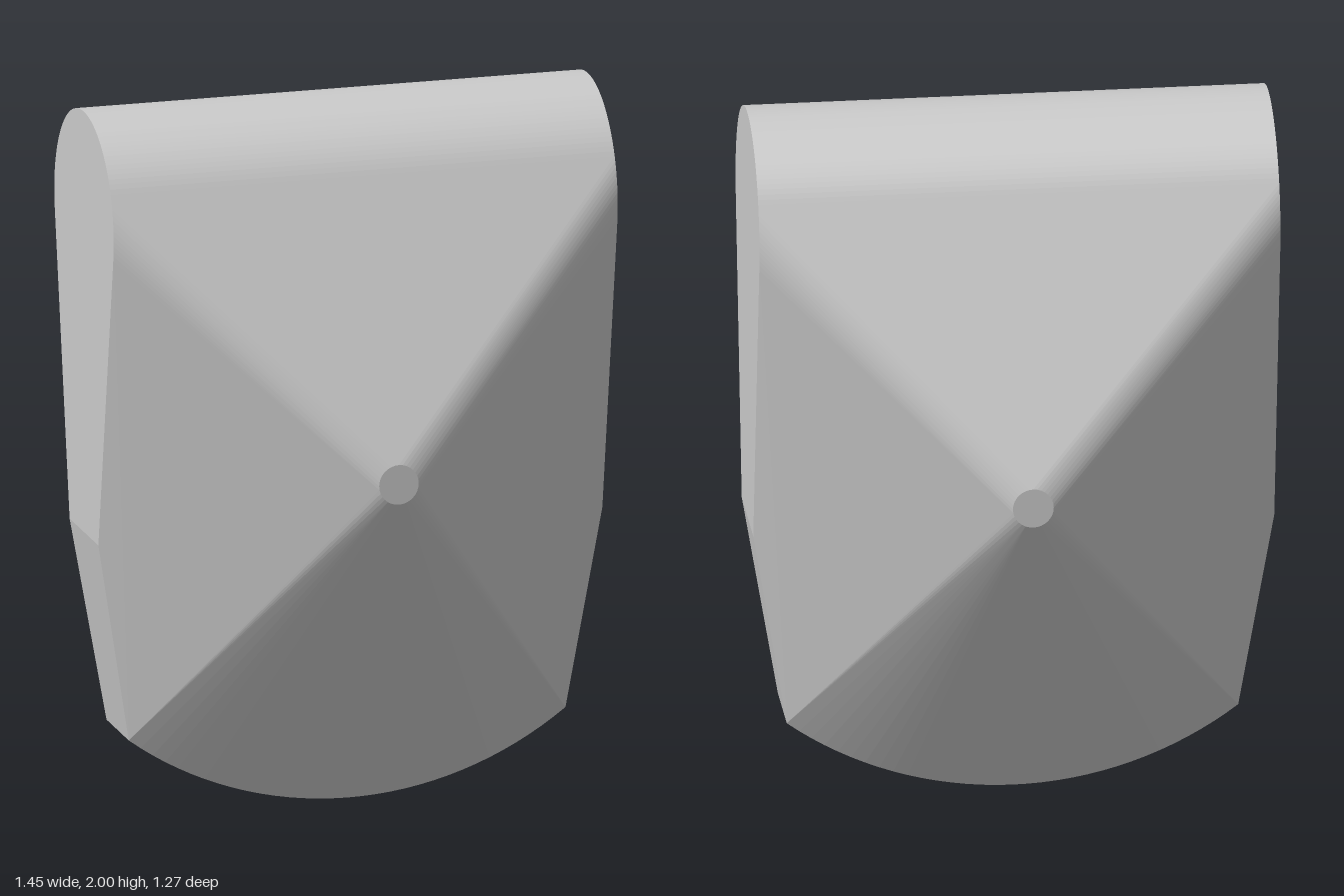
import * as THREE from 'three';
import { ConvexGeometry } from 'three/addons/geometries/ConvexGeometry.js';

// Points along a circular arc, handed to place(cos * r, sin * r)
function arc(radius, from, to, steps, place) {
  for (let i = 0; i <= steps; i++) {
    const a = from + (to - from) * i / steps;
    place(radius * Math.cos(a), radius * Math.sin(a));
  }
}

export function createModel() {
  const group = new THREE.Group();
  group.name = 'wedgeBody';
  const points = [];
  const add = (x, y, z) => points.push(new THREE.Vector3(x, y, z));

  const halfWidth = 0.727;
  const hubY = 1.04;
  const sweep = Math.asin(0.63 / hubY);

  for (const s of [-1, 1]) {
    // Rounded top bar, running along x
    arc(0.3, -0.17, Math.PI + 0.17, 72, (c, d) => add(s * halfWidth, 1.7 + d, c));

    // Small flat disc at the front and back peaks
    arc(0.057, 0, Math.PI * 2 * 31 / 32, 31, (c, d) => add(c, hubY + d, s * 0.635));

    // Curved bottom edge, centred on the disc
    arc(hubY, -Math.PI / 2 - sweep, -Math.PI / 2 + sweep, 32,
      (c, d) => add(c, hubY + d, s * 0.112));

    // Lower corners of the flat ends, where the sides start to taper
    for (const t of [-1, 1]) add(s * halfWidth, 0.79, t * 0.145);
  }

  // The skin stretched over all of these outlines
  const body = new THREE.Mesh(
    new ConvexGeometry(points),
    new THREE.MeshStandardMaterial({ color: 0xcccccc })
  );
  body.name = 'body';
  group.add(body);
  return group;
}
